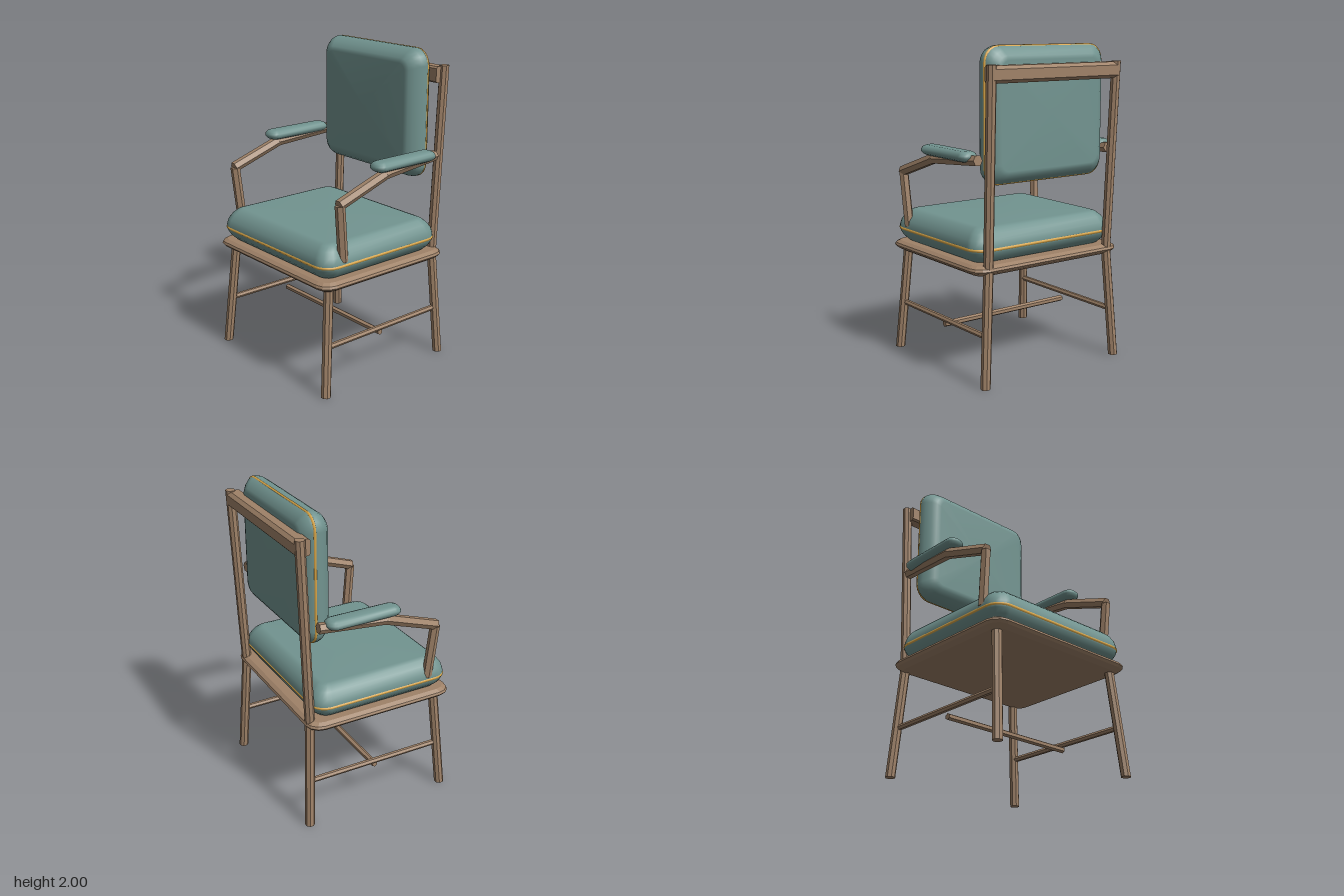
import * as THREE from 'three';

const teal = new THREE.MeshStandardMaterial({ color: 0x729490 });
teal.name = 'teal upholstery';
const wood = new THREE.MeshStandardMaterial({ color: 0x9f8268 });
wood.name = 'brown wood';
const gold = new THREE.MeshStandardMaterial({ color: 0xd9a648 });
gold.name = 'gold piping';

const V = (x, y, z) => new THREE.Vector3(x, y, z);

function flat(geometry) {
  const g = geometry.toNonIndexed();
  g.computeVertexNormals();
  return g;
}

// Stacked rounded rectangles; each ring is [height, inset from the outline]
function loft(hx, hz, radius, segs, rings, capped = true) {
  const pos = [], index = [], n = 4 * (segs + 1);
  for (const [y, inset] of rings) {
    const r = Math.max(radius - inset * 0.6, 0.01);
    for (let c = 0; c < 4; c++) {
      const sx = c === 0 || c === 3 ? 1 : -1, sz = c < 2 ? 1 : -1;
      for (let s = 0; s <= segs; s++) {
        const a = (c + s / segs) * Math.PI / 2;
        pos.push(sx * (hx - inset - r) + r * Math.cos(a), y, sz * (hz - inset - r) + r * Math.sin(a));
      }
    }
  }
  for (let k = 0; k < rings.length - 1; k++) {
    for (let i = 0; i < n; i++) {
      const a = k * n + i, b = k * n + (i + 1) % n;
      index.push(a, a + n, b, b, a + n, b + n);
    }
  }
  if (capped) {
    const last = (rings.length - 1) * n, bottom = pos.length / 3, top = bottom + 1;
    pos.push(0, rings[0][0], 0, 0, rings[rings.length - 1][0], 0);
    for (let i = 0; i < n; i++) {
      const j = (i + 1) % n;
      index.push(bottom, i, j, top, last + j, last + i);
    }
  }
  const g = new THREE.BufferGeometry();
  g.setAttribute('position', new THREE.Float32BufferAttribute(pos, 3));
  g.setIndex(index);
  g.computeVertexNormals();
  return g;
}

// Faceted bar square to its own axis
function bar(a, b, r, sides = 6) {
  const d = b.clone().sub(a);
  const g = new THREE.CylinderGeometry(r, r, d.length(), sides, 1, false, Math.PI / 6);
  g.applyQuaternion(new THREE.Quaternion().setFromUnitVectors(V(0, 1, 0), d.normalize()));
  const m = a.clone().add(b).multiplyScalar(0.5);
  return flat(g.translate(m.x, m.y, m.z));
}

// Leaning upright with level ends
function upright(a, b, r, sides = 8) {
  const g = new THREE.CylinderGeometry(r, r, 1, sides, 1, false, Math.PI / 8);
  const m = new THREE.Matrix4().makeBasis(V(1, 0, 0), b.clone().sub(a), V(0, 0, 1));
  m.setPosition(a.clone().add(b).multiplyScalar(0.5));
  return flat(g.applyMatrix4(m));
}

export function createModel() {
  const model = new THREE.Group();
  model.name = 'armchair';
  const add = (name, geometry, material, parent = model) => {
    const mesh = new THREE.Mesh(geometry, material);
    mesh.name = name;
    parent.add(mesh);
    return mesh;
  };

  // Seat frame with bevelled edge
  add('seatFrame', flat(loft(0.56, 0.5, 0.09, 3,
    [[0.67, 0.045], [0.69, 0.012], [0.705, 0], [0.72, 0.006], [0.735, 0.03]])), wood).position.z = 0.024;

  // Seat cushion and its piping
  const seat = new THREE.Group();
  seat.name = 'seat';
  seat.position.z = 0.037;
  model.add(seat);
  add('seatCushion', loft(0.535, 0.467, 0.1, 5,
    [[0.733, 0.06], [0.745, 0.045], [0.77, 0.02], [0.8, 0.003], [0.815, 0], [0.84, 0],
      [0.875, 0.01], [0.91, 0.034], [0.935, 0.064], [0.945, 0.092]]), teal, seat);
  add('seatPiping', loft(0.539, 0.471, 0.104, 5,
    [[0.81, 0.005], [0.816, 0], [0.823, 0], [0.829, 0.005]], false), gold, seat);

  // Back cushion and its piping, built lying down and stood up
  const back = new THREE.Group();
  back.name = 'back';
  back.rotation.x = Math.PI / 2;
  back.position.set(0, 1.595, 0);
  model.add(back);
  add('backCushion', loft(0.447, 0.405, 0.1, 5,
    [[-0.45, 0.085], [-0.442, 0.06], [-0.422, 0.032], [-0.4, 0.013], [-0.38, 0.002], [-0.36, 0],
      [-0.33, 0.008], [-0.295, 0.032], [-0.272, 0.06], [-0.261, 0.088]]), teal, back);
  add('backPiping', loft(0.448, 0.406, 0.101, 5,
    [[-0.39, 0.01], [-0.387, 0.002], [-0.379, 0], [-0.374, 0.004]], false), gold, back);

  // Top rail: box section with bevelled edges
  const rail = new THREE.Shape([[-0.425, 1.8], [-0.425, 1.88], [-0.437, 1.89], [-0.5, 1.89],
    [-0.52, 1.87], [-0.52, 1.81], [-0.5, 1.79], [-0.437, 1.79]].map(([z, y]) => new THREE.Vector2(-z, y)));
  const railGeo = new THREE.ExtrudeGeometry(rail, { depth: 0.94, bevelEnabled: false });
  railGeo.translate(0, 0, -0.47).rotateY(Math.PI / 2);
  add('topRail', railGeo, wood);

  // Stretcher across the middle
  add('crossStretcher', bar(V(-0.475, 0.268, 0.01), V(0.475, 0.268, 0.01), 0.02), wood);

  for (const s of [-1, 1]) {
    const side = s > 0 ? 'left' : 'right';

    // Legs and back post
    add(side + 'FrontLeg', upright(V(s * 0.517, 0, 0.488), V(s * 0.474, 0.69, 0.43), 0.031), wood);
    add(side + 'BackLeg', upright(V(s * 0.51, 0, -0.476), V(s * 0.462, 0.7, -0.442), 0.031), wood);
    add(side + 'BackPost', upright(V(s * 0.462, 0.7, -0.442), V(s * 0.472, 1.895, -0.492), 0.031), wood);
    add(side + 'Stretcher', bar(V(s * 0.494, 0.31, 0.45), V(s * 0.487, 0.31, -0.45), 0.018), wood);

    // Arm: upright, sloping run and level run to the back post
    add(side + 'ArmPost', upright(V(s * 0.513, 0.84, 0.352), V(s * 0.525, 1.19, 0.387), 0.031, 6), wood);
    add(side + 'ArmSlope', bar(V(s * 0.525, 1.195, 0.395), V(s * 0.523, 1.317, 0.03), 0.034), wood);
    add(side + 'ArmRun', bar(V(s * 0.523, 1.315, 0.045), V(s * 0.502, 1.35, -0.4), 0.034), wood);

    // Arm pad
    add(side + 'ArmPad', loft(0.061, 0.243, 0.05, 4,
      [[1.335, 0.03], [1.345, 0.012], [1.36, 0], [1.375, 0.001], [1.39, 0.012], [1.398, 0.03]]), teal)
      .position.set(s * 0.518, 0, -0.117);
  }
  return model;
}
